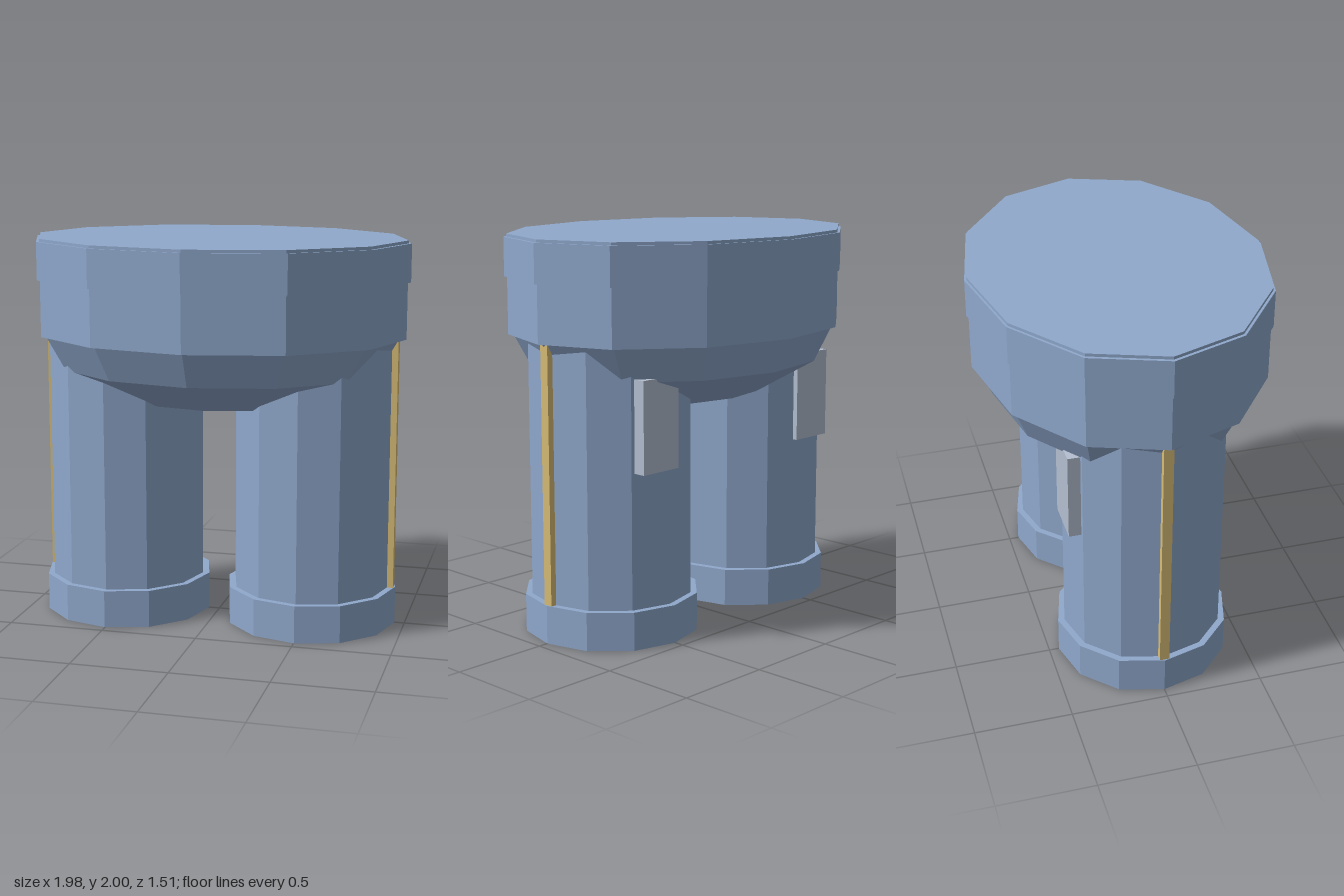
import * as THREE from 'three';

const SIDES = 12;

function material(name, color) {
  const m = new THREE.MeshStandardMaterial({ color, flatShading: true });
  m.name = name;
  return m;
}

export function createModel() {
  const denim = material('denim blue', 0x8fa8cc);
  const gold = material('gold stripe', 0xd8bd76);
  const grey = material('pale pocket', 0xb4bfd0);

  const model = new THREE.Group();
  model.name = 'trousers';

  function add(name, geometry, mat, parent = model) {
    const mesh = new THREE.Mesh(geometry, mat);
    mesh.name = name;
    parent.add(mesh);
    return mesh;
  }

  // Twelve-sided drum between two heights, oval if rx and rz differ
  function drum(rx, rz, y0, y1) {
    return new THREE.CylinderGeometry(1, 1, y1 - y0, SIDES)
      .scale(rx, 1, rz)
      .translate(0, (y0 + y1) / 2, 0);
  }

  function box(x0, x1, y0, y1, z0, z1) {
    return new THREE.BoxGeometry(x1 - x0, y1 - y0, z1 - z0)
      .translate((x0 + x1) / 2, (y0 + y1) / 2, (z0 + z1) / 2);
  }

  // Hips, waistband and the rounded seat below them
  add('hips', drum(0.975, 0.745, 1.5, 2), denim);
  add('waistband', drum(0.991, 0.756, 1.79, 1.985), denim);
  const seat = new THREE.SphereGeometry(1, SIDES, 3, 0, Math.PI * 2, Math.PI / 2, Math.PI / 2)
    .scale(0.975, 0.45, 0.745)
    .translate(0, 1.548, 0);
  add('seat', seat, denim);

  // Legs, with cuff, outer side stripe and back pocket
  for (const [side, s] of [['left', 1], ['right', -1]]) {
    const leg = new THREE.Group();
    leg.name = side + 'Leg';
    leg.position.x = s * 0.502;
    model.add(leg);

    add(side + 'LegTube', drum(0.412, 0.415, 0.1, 1.52), denim, leg);
    add(side + 'Cuff', drum(0.446, 0.449, 0, 0.195), denim, leg);

    const stripe = add(side + 'Stripe', box(-0.025, 0.025, 0.19, 1.5, -0.025, 0.025), gold, leg);
    stripe.position.x = s * 0.412;

    const pocket = add(side + 'BackPocket', box(-0.12, 0.12, 0.88, 1.34, -0.427, -0.36), grey, leg);
    pocket.position.x = s * 0.07;
  }

  return model;
}
